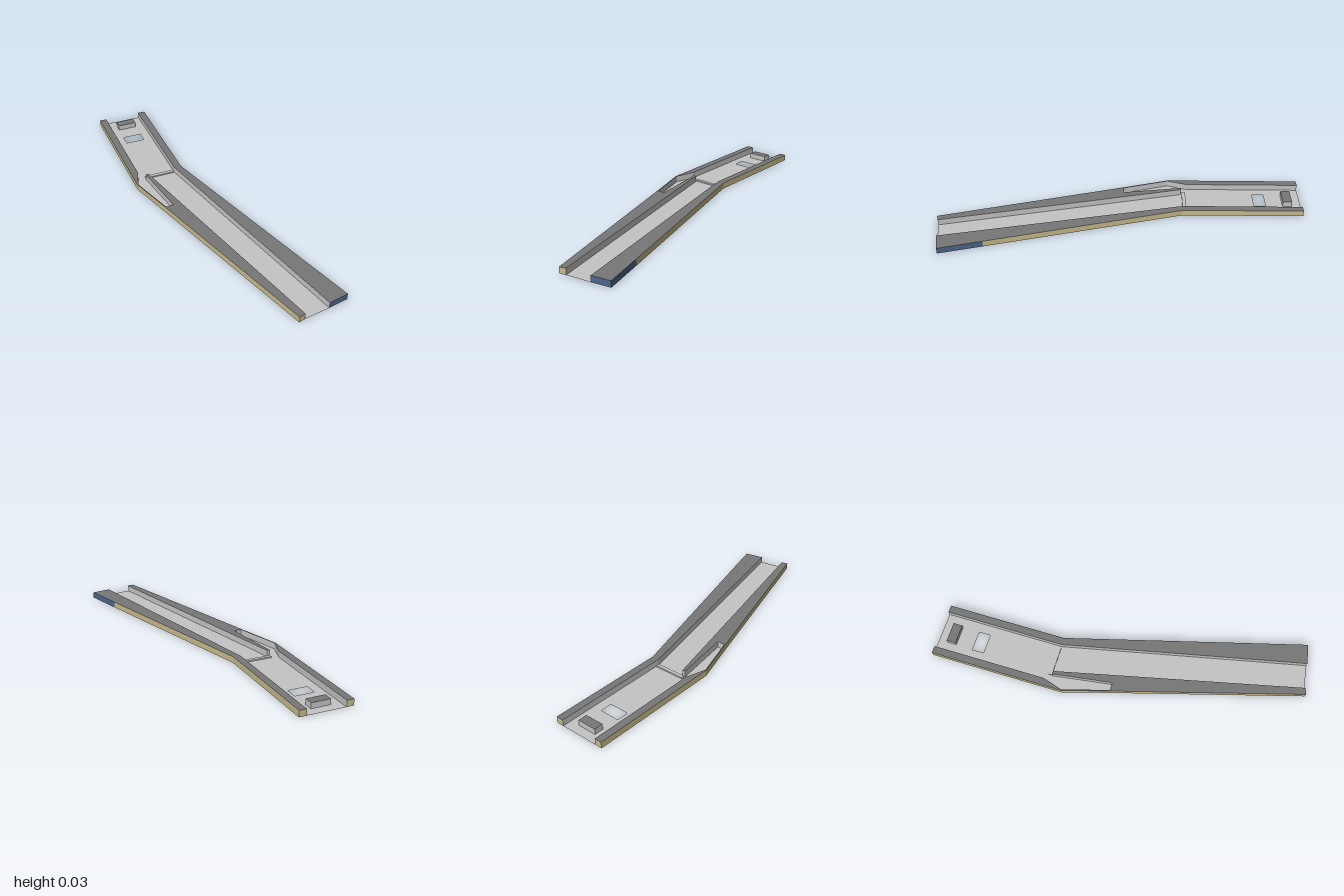
import * as THREE from 'three';

const H = 0.034; // height of the side rails

const mat = (name, color) => {
  const m = new THREE.MeshStandardMaterial({ color, side: THREE.DoubleSide });
  m.name = name;
  return m;
};

// flat horizontal plate from [x, z] points
function plate(points, y, holes = []) {
  const flip = (list) => list.map(([x, z]) => new THREE.Vector2(x, -z));
  const shape = new THREE.Shape(flip(points));
  holes.forEach((h) => shape.holes.push(new THREE.Path(flip(h))));
  return new THREE.ShapeGeometry(shape).rotateX(-Math.PI / 2).translate(0, y, 0);
}

// upright sheet following an [x, z] path
function wall(path, y0 = 0, y1 = H) {
  const pos = [];
  for (let i = 0; i < path.length - 1; i++) {
    const [ax, az] = path[i];
    const [bx, bz] = path[i + 1];
    pos.push(ax, y0, az, bx, y0, bz, bx, y1, bz, ax, y0, az, bx, y1, bz, ax, y1, az);
  }
  const g = new THREE.BufferGeometry();
  g.setAttribute('position', new THREE.Float32BufferAttribute(pos, 3));
  g.computeVertexNormals();
  return g;
}

const rect = (x0, x1, z0, z1) => [[x0, z0], [x1, z0], [x1, z1], [x0, z1]];
const closed = (p) => [...p, p[0]];

export function createModel() {
  const group = new THREE.Group();
  const light = mat('light grey', 0xc4c4c4);
  const dark = mat('dark grey', 0x777777);
  const tan = mat('tan', 0xc6ba8c);
  const blue = mat('blue', 0x4d6688);
  const add = (name, geometry, material) => {
    const m = new THREE.Mesh(geometry, material);
    m.name = name;
    group.add(m);
  };

  // outlines of the two rails, from back to front
  const rightOuter = [[-0.32, -1], [-0.32, -0.26], [-0.247, -0.01], [0.04, 1]];
  const rightInner = [[-0.28, -1], [-0.28, -0.37], [-0.314, -0.26], [-0.241, -0.01],
    [-0.198, -0.01], [-0.245, -0.335], [-0.228, -0.335], [0.075, 0.99]];
  const leftInner = [[-0.07, -1], [-0.07, -0.34], [0.213, 0.97]];
  const leftOuter = [[-0.03, -1], [-0.03, -0.34], [0.258, 0.72], [0.32, 0.95]];

  // rail tops and inner faces; the rails are hollow and open below
  add('rightRailTop', plate([...rightOuter, ...rightInner.slice().reverse()], H), dark);
  add('leftRailTop', plate([...leftOuter, ...leftInner.slice().reverse()], H), dark);
  add('rightRailInside', wall(rightInner), light);
  add('leftRailInside', wall(leftInner), light);

  // outer faces and end caps
  add('rightRailOutside', wall([rightInner[0], ...rightOuter, rightInner[7]]), tan);
  add('leftRailOutside', wall([leftInner[0], ...leftOuter.slice(0, 3)]), tan);
  add('leftRailTip', wall([leftOuter[2], leftOuter[3], leftInner[2]]), blue);

  // floor with a hatch, an opening under the block and a slot under the ridge
  const hatch = rect(-0.23, -0.122, -0.805, -0.74);
  const block = rect(-0.228, -0.122, -0.95, -0.9);
  const ridge = rect(-0.243, -0.073, -0.36, -0.34);
  add('floor', plate([...rightInner, ...leftInner.slice().reverse()], 0, [hatch, block, ridge]), light);

  // hollow block near the back
  add('blockSides', wall(closed(block), 0, 0.03), light);
  add('blockTop', plate(block, 0.03), dark);

  // low ridge across the bend
  add('ridgeSides', wall(closed(ridge), 0, 0.007), light);
  add('ridgeTop', plate(ridge, 0.007), light);

  return group;
}
